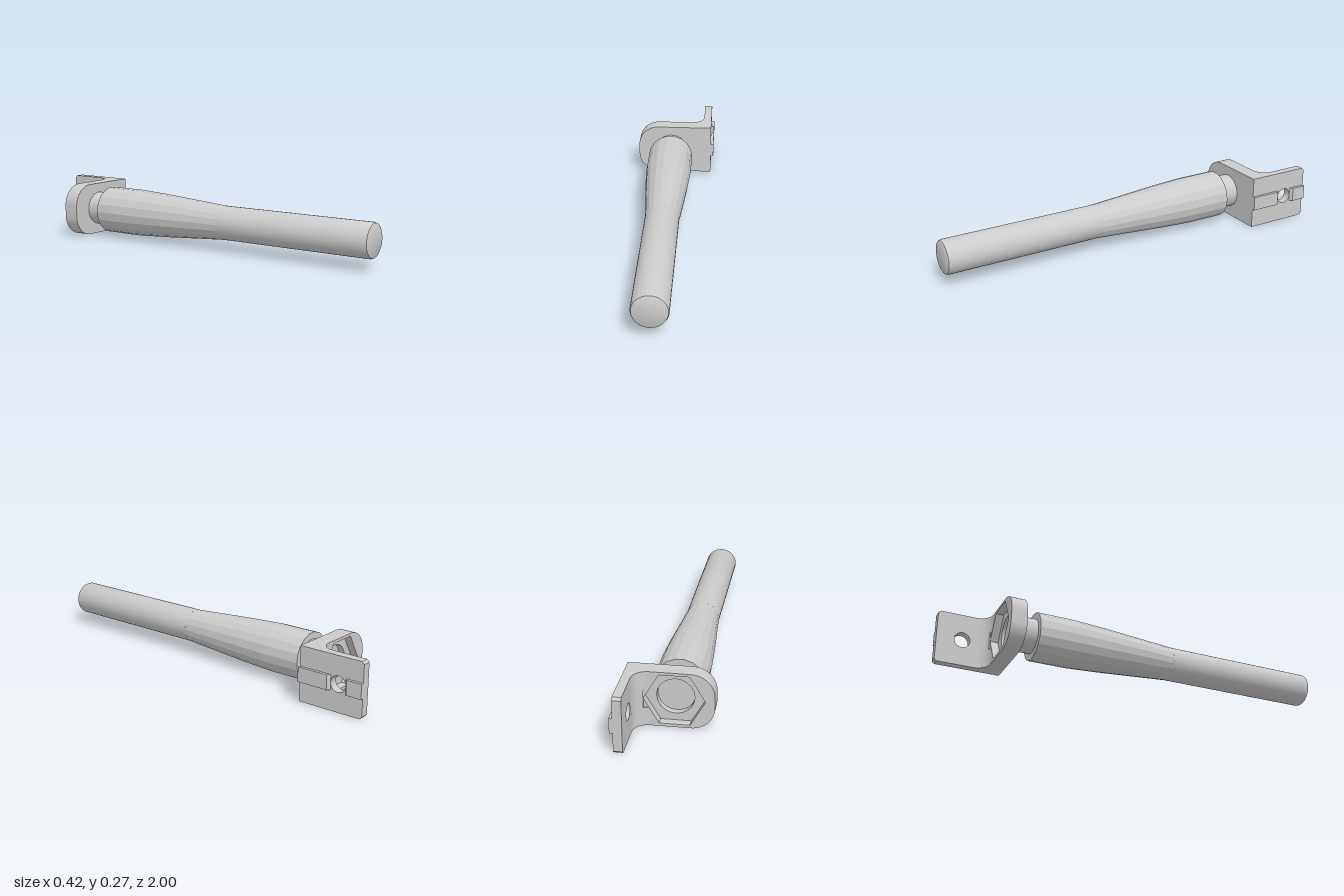
import * as THREE from 'three';
import { toCreasedNormals } from 'three/addons/utils/BufferGeometryUtils.js';

const AX = -0.028, AY = 0.137; // handle axis
const H = 0.273; // bracket height

export function createModel() {
  const model = new THREE.Group();
  const smooth = new THREE.MeshStandardMaterial({ color: 0xcccccc });
  const faceted = new THREE.MeshStandardMaterial({ color: 0xcccccc, flatShading: true });

  const add = (name, geo, mat = smooth) => {
    const mesh = new THREE.Mesh(mat === smooth ? toCreasedNormals(geo, 0.6) : geo, mat);
    mesh.name = name;
    model.add(mesh);
    return mesh;
  };

  // Turned part along z; profile is [radius, z] with z increasing
  const turned = (name, profile, sides, mat) => {
    const pts = profile.map(([r, z]) => new THREE.Vector2(r, z));
    const geo = new THREE.LatheGeometry(pts, sides, Math.PI / 2);
    geo.rotateX(Math.PI / 2);
    geo.translate(AX, AY, 0);
    return add(name, geo, mat);
  };

  const extrude = (shape, depth, curveSegments = 10) =>
    new THREE.ExtrudeGeometry(shape, { depth, bevelEnabled: false, curveSegments });
  const polygon = (pts) => new THREE.Shape(pts.map(([x, y]) => new THREE.Vector2(x, y)));

  // Handle: slim round shaft, faceted swelling grip, collar
  turned('shaft', [[0, 0.17], [0.086, 0.17], [0.086, 0.985], [0.082, 0.995], [0.073, 1], [0, 1]], 36);
  turned('grip', [[0, -0.57], [0.122, -0.57], [0.122, -0.37], [0.113, -0.2], [0.086, 0.18], [0, 0.18]], 18, faceted);
  turned('collar', [[0, -0.668], [0.0875, -0.668], [0.0875, -0.56], [0, -0.56]], 36);

  // Plate: round socket in the front layer, hexagonal pocket in the back layer
  const plateShape = () => {
    const r = 0.11, l = -0.212, e = 0.197;
    const s = new THREE.Shape();
    s.moveTo(e, 0);
    s.lineTo(e, H);
    s.lineTo(l + r, H);
    s.absarc(l + r, H - r, r, Math.PI / 2, Math.PI, false);
    s.lineTo(l, r);
    s.absarc(l + r, r, r, Math.PI, Math.PI * 1.5, false);
    s.closePath();
    return s;
  };
  const front = plateShape();
  front.holes.push(new THREE.Path().absarc(AX, AY, 0.0875, 0, Math.PI * 2, true));
  add('plateFront', extrude(front, 0.04).translate(0, 0, -0.7));

  const back = plateShape();
  const hex = [];
  for (let i = 0; i < 6; i++) {
    const a = -i * Math.PI / 3;
    hex.push(new THREE.Vector2(AX + 0.141 * Math.cos(a), AY + 0.141 * Math.sin(a)));
  }
  back.holes.push(new THREE.Path(hex));
  add('plateBack', extrude(back, 0.04).translate(0, 0, -0.74));

  // Arm: side leaf with a screw hole and clipped rear corners
  const c = 0.012;
  const arm = polygon([[0.74, 0], [1 - c, 0], [1, c], [1, H - c], [1 - c, H], [0.74, H]]);
  arm.holes.push(new THREE.Path().absarc(0.87, AY, 0.04, 0, Math.PI * 2, true));
  add('arm', extrude(arm, 0.042).rotateY(Math.PI / 2).translate(0.155, 0, 0));

  // Inner fillet between plate and arm, cut back around the pocket corner
  const fillet = (y0, y1, startAngle) => {
    const r = 0.07, cx = 0.085, cz = 0.81;
    const s = new THREE.Shape();
    s.moveTo(0.155, 0.74);
    s.lineTo(0.155, cz);
    s.absarc(cx, cz, r, 0, startAngle, true);
    s.lineTo(cx + r * Math.cos(startAngle), 0.74);
    s.closePath();
    add('fillet', extrude(s, y1 - y0).rotateX(-Math.PI / 2).translate(0, y0, 0));
  };
  fillet(0, AY - 0.045, -Math.PI / 2);
  fillet(AY - 0.045, AY + 0.045, -Math.acos(0.028 / 0.07));
  fillet(AY + 0.045, H, -Math.PI / 2);

  // Locating ribs on the outer face, either side of the screw hole
  const ribs = [
    [[0.197, 0.66], [0.212, 0.66], [0.212, 0.818], [0.197, 0.83]],
    [[0.197, 0.91], [0.212, 0.922], [0.212, 1], [0.197, 1]],
  ];
  for (const r of ribs) {
    add('rib', extrude(polygon(r), 0.073).rotateX(-Math.PI / 2).translate(0, AY - 0.0365, 0), faceted);
  }

  return model;
}
